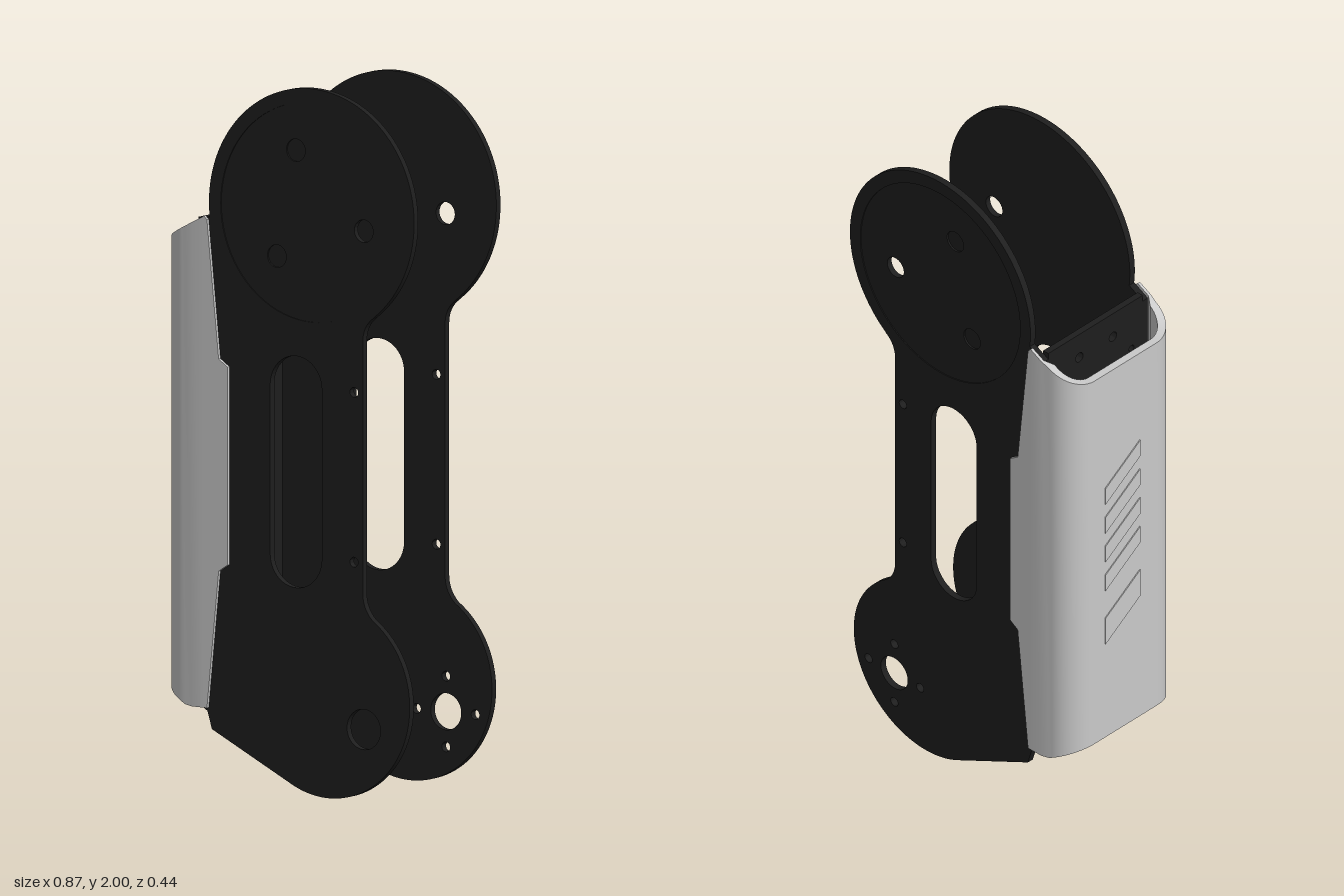
import * as THREE from 'three';
import { toCreasedNormals } from 'three/addons/utils/BufferGeometryUtils.js';

const rad = THREE.MathUtils.degToRad;

function circle(x, y, r) {
  const p = new THREE.Path();
  p.absarc(x, y, r, 0, Math.PI * 2, true);
  return p;
}

function extrude(shape, depth) {
  const g = new THREE.ExtrudeGeometry(shape, { depth, bevelEnabled: false, curveSegments: 40 });
  return toCreasedNormals(g, 0.5);
}

// Dog-bone outline of a side plate with its slot and neck holes
function plateShape() {
  const s = new THREE.Shape();
  s.moveTo(-0.26, 0.16);
  s.lineTo(0.017, 0.026);
  s.absarc(0.135, 0.28, 0.28, rad(-115), rad(56.6), false);
  s.quadraticCurveTo(0.255, 0.545, 0.255, 0.59);
  s.lineTo(0.255, 1.3);
  s.quadraticCurveTo(0.255, 1.345, 0.291, 1.37);
  s.absarc(0.08, 1.65, 0.35, rad(-53), rad(187), false);
  s.lineTo(-0.32, 1.58);
  s.lineTo(-0.32, 0.24);
  s.lineTo(-0.275, 0.21);
  s.closePath();
  const slot = new THREE.Path();
  slot.absarc(0.027, 1.152, 0.088, 0, Math.PI, false);
  slot.absarc(0.027, 0.673, 0.088, Math.PI, Math.PI * 2, false);
  slot.closePath();
  s.holes.push(slot, circle(0.225, 1.155, 0.014), circle(0.225, 0.675, 0.014));
  return s;
}

// Side plate in three layers: core, layer with dimples, outer layer with round recess
function sidePlate(name, side, material) {
  const group = new THREE.Group();
  group.name = name;
  const layers = [['plateCore', 0.19, 0.202], ['plateDimpleLayer', 0.202, 0.207], ['plateOuterLayer', 0.207, 0.21]];
  layers.forEach(([layerName, z0, z1], i) => {
    const s = plateShape();
    s.holes.push(circle(0.258, 0.205, side > 0 ? 0.057 : 0.052));
    if (side < 0) {
      for (let k = 0; k < 4; k++) {
        const a = k * Math.PI / 2;
        s.holes.push(circle(0.258 + 0.1 * Math.cos(a), 0.205 + 0.1 * Math.sin(a), 0.014));
      }
    }
    if (i === 2) s.holes.push(circle(0.08, 1.65, 0.31));
    else s.holes.push(circle(0.256, 1.613, 0.032));
    if (i === 1) {
      for (const deg of [108, 228]) {
        s.holes.push(circle(0.08 + 0.18 * Math.cos(rad(deg)), 1.65 + 0.18 * Math.sin(rad(deg)), 0.032));
      }
    }
    const m = new THREE.Mesh(extrude(s, z1 - z0), material);
    m.position.z = side > 0 ? z0 : -z1;
    m.name = layerName;
    group.add(m);
  });
  return group;
}

// Flat web joining the two plates, drilled for screws
function webPlate(material) {
  const s = new THREE.Shape();
  s.moveTo(-0.19, 0.22);
  s.lineTo(0.19, 0.22);
  s.lineTo(0.19, 1.6);
  s.lineTo(-0.19, 1.6);
  s.closePath();
  const holes = [[0.07, 1.52], [-0.065, 1.52], [0.145, 1.44], [-0.14, 1.44], [0.13, 1.02], [-0.13, 1.02],
    [0.13, 0.77], [-0.13, 0.77], [0.14, 0.45], [-0.135, 0.31], [0.085, 0.3], [-0.08, 0.3]];
  for (const [z, y] of holes) s.holes.push(circle(z, y, y > 1.5 || y === 0.3 ? 0.015 : 0.01));
  const m = new THREE.Mesh(extrude(s, 0.02).rotateY(-Math.PI / 2), material);
  m.position.x = -0.3;
  m.name = 'webPlate';
  return m;
}

function interpolate(stops, x) {
  for (let i = 1; i < stops.length; i++) {
    const [x0, y0] = stops[i - 1], [x1, y1] = stops[i];
    if (x <= x1) return y0 + (y1 - y0) * Math.max(0, (x - x0) / (x1 - x0));
  }
  return stops[stops.length - 1][1];
}

// Rounded C-section cover, trimmed to a sloped outline with stepped side flaps
function coverGeometry() {
  const top = [[-0.437, 1.53], [-0.28, 1.61], [-0.27, 1.6], [-0.23, 1.21], [-0.2, 1.19]];
  const bottom = [[-0.437, 0.27], [-0.34, 0.22], [-0.27, 0.22], [-0.23, 0.61], [-0.2, 0.63]];
  // Stations: outer x, outer z, inner x, inner z
  const half = [-0.2, -0.23, -0.27, -0.28, -0.322].map((x) => [x, 0.22, x, 0.211]);
  for (let i = 0; i <= 12; i++) {
    const a = Math.PI / 2 * (1 + i / 12), c = Math.cos(a), s = Math.sin(a);
    half.push([-0.347 + 0.09 * c, 0.126 + 0.09 * s, -0.347 + 0.066 * c, 0.126 + 0.066 * s]);
  }
  const stations = [...half, ...half.slice().reverse().map(([a, b, c, d]) => [a, -b, c, -d])];
  const pos = [], index = [];
  for (const [ox, oz, ix, iz] of stations) {
    const y0 = interpolate(bottom, ox), y1 = interpolate(top, ox);
    pos.push(ox, y0, oz, ox, y1, oz, ix, y1, iz, ix, y0, iz);
  }
  const n = 4 * (stations.length - 1);
  for (let i = 0; i < n; i += 4) {
    for (let k = 0; k < 4; k++) {
      const a = i + k, d = i + (k + 1) % 4;
      index.push(a, d, d + 4, a, d + 4, a + 4);
    }
  }
  index.push(0, 3, 2, 0, 2, 1, n, n + 1, n + 2, n, n + 2, n + 3);
  const g = new THREE.BufferGeometry();
  g.setAttribute('position', new THREE.Float32BufferAttribute(pos, 3));
  g.setIndex(index);
  return toCreasedNormals(g, 0.5);
}

// Slanted louvre plates on the back of the cover
function louvres(material) {
  const group = new THREE.Group();
  group.name = 'louvres';
  for (let i = 0; i < 5; i++) {
    const y = 1.08 - i * 0.1, h = i === 4 ? 0.09 : 0.055, drop = i === 4 ? 0.05 : 0;
    const s = new THREE.Shape();
    s.moveTo(-0.084, y - drop - h + 0.055);
    s.lineTo(0.056, y + 0.095 - drop - h + 0.055);
    s.lineTo(0.056, y + 0.15 - drop);
    s.lineTo(-0.084, y + 0.055 - drop);
    s.closePath();
    const m = new THREE.Mesh(extrude(s, 0.004).rotateY(-Math.PI / 2), material);
    m.position.x = -0.436;
    m.name = 'louvre';
    group.add(m);
  }
  return group;
}

export function createModel() {
  const black = new THREE.MeshStandardMaterial({ color: 0x1e1e1e });
  black.name = 'black';
  const grey = new THREE.MeshStandardMaterial({ color: 0xcacaca });
  grey.name = 'lightGrey';

  const model = new THREE.Group();
  model.name = 'linkArm';
  model.add(sidePlate('frontPlate', 1, black), sidePlate('backPlate', -1, black), webPlate(black));
  const cover = new THREE.Mesh(coverGeometry(), grey);
  cover.name = 'cover';
  model.add(cover, louvres(grey));
  return model;
}
